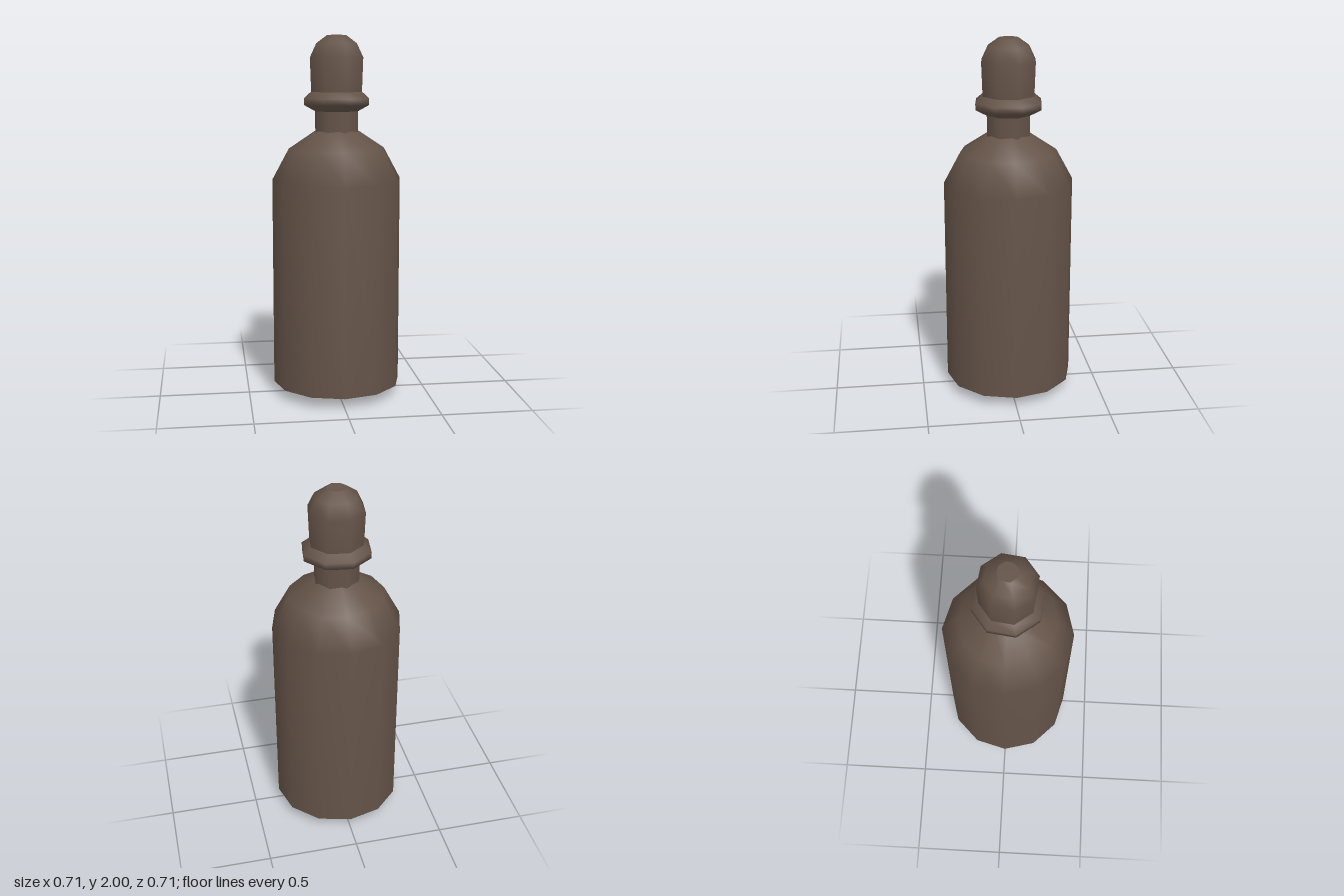
import * as THREE from 'three';

export function createModel() {
  const group = new THREE.Group();
  group.name = 'bottle';
  const brown = new THREE.MeshStandardMaterial({ color: 0x645348 });
  brown.name = 'dark brown';

  // Turned part from [radius, height] pairs listed bottom to top
  const turn = (name, profile, sides, start = 0) => {
    const points = profile.map(([r, y]) => new THREE.Vector2(r, y));
    const mesh = new THREE.Mesh(new THREE.LatheGeometry(points, sides, start), brown);
    mesh.name = name;
    group.add(mesh);
  };

  // Twelve-sided body with a shallow domed base
  turn('base', [[0, 0], [0.2, 0.02], [0.357, 0.06]], 12);
  turn('body', [[0.357, 0.06], [0.357, 1.215], [0.265, 1.385], [0.122, 1.48], [0.1, 1.495]], 12);

  // Eight-sided neck and stopper, turned slightly against the body
  const twist = Math.PI / 12;
  turn('neck', [[0.126, 1.44], [0.126, 1.59]], 8, twist);
  turn('collar', [[0.126, 1.59], [0.191, 1.625], [0.191, 1.66], [0.149, 1.695]], 8, twist);
  turn('stopper', [[0.149, 1.69], [0.156, 1.88], [0.119, 1.955], [0.055, 2]], 8, twist);
  turn('stopperTop', [[0.055, 2], [0, 2]], 8, twist);

  return group;
}
